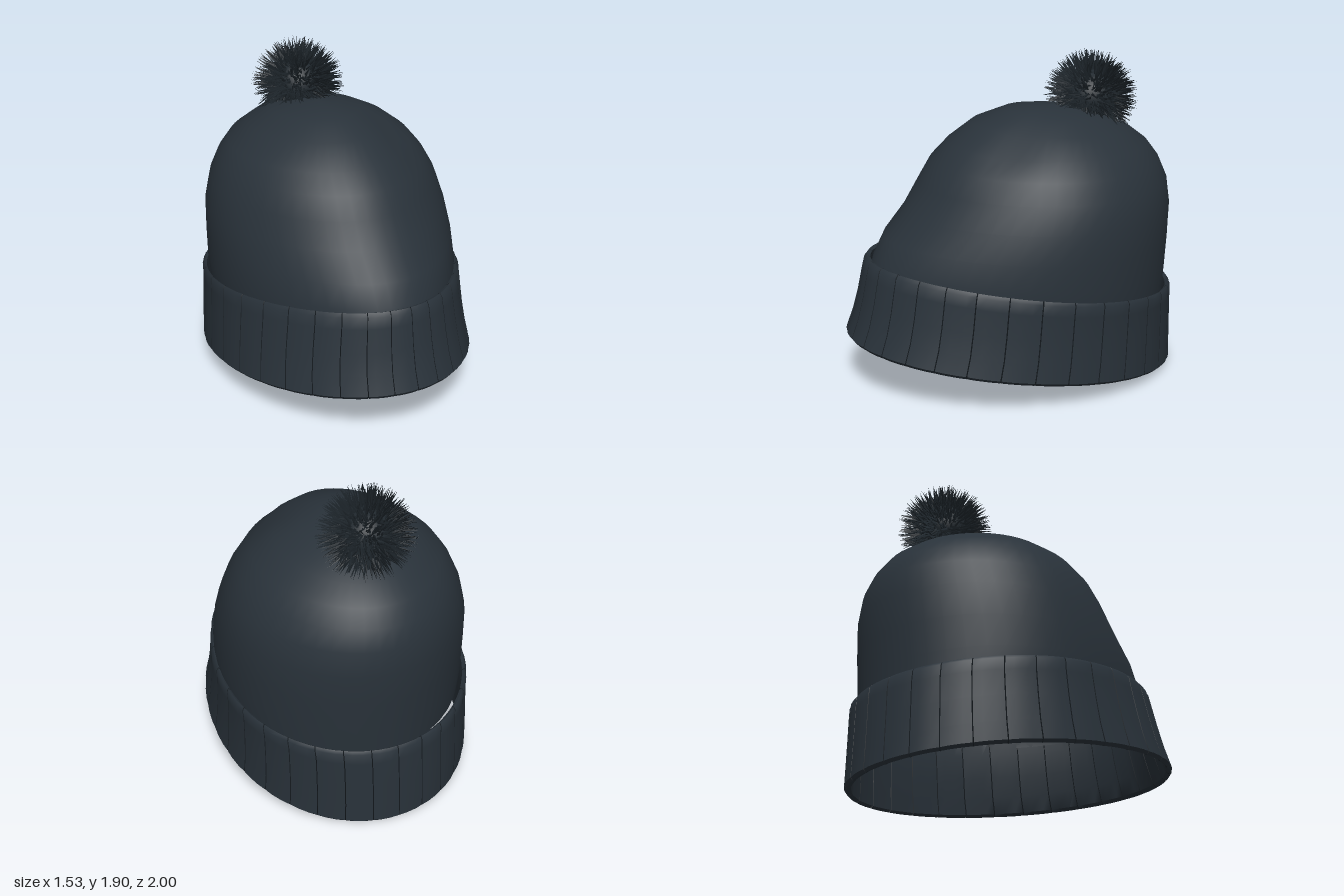
import * as THREE from 'three';
import { mergeGeometries, toCreasedNormals } from 'three/addons/utils/BufferGeometryUtils.js';

const knit = new THREE.MeshStandardMaterial({ name: 'slate knit', color: 0x29323a, side: THREE.DoubleSide });
const seam = new THREE.MeshStandardMaterial({ name: 'dark seam', color: 0x171d22, side: THREE.DoubleSide });
const fluff = new THREE.MeshStandardMaterial({ name: 'dark fluff', color: 0x1f272d });

// small seeded random generator
let seed = 7;
const rand = () => (seed = (seed * 16807) % 2147483647) / 2147483647;
const jitter = (size) => (rand() - 0.5) * size;

// point on a tilted egg-shaped ring: [front z, front y, back z, back y, half width, x shift, taper, flattening]
function ringPoint([zf, yf, zb, yb, w, shift, taper, flat], a, push) {
  const c = Math.cos(a), s = Math.sin(a), t = (1 + c) / 2;
  const x = w * s * (0.99 - taper * c - flat * c * c);
  return [x + s * push + shift, yb + (yf - yb) * t, zb + (zf - zb) * t + c * push];
}

// skin a stack of rings; columns are { a, push, dark } around the ring, a ring's ninth number scales the push
function loft(rings, columns, closed) {
  const n = columns.length, pos = [], light = [], dark = [];
  for (const ring of rings)
    for (const col of columns) pos.push(...ringPoint(ring, col.a, col.push * (ring[8] ?? 1)));
  const last = closed ? rings.length : rings.length - 1;
  for (let j = 0; j < last; j++) {
    const k = (j + 1) % rings.length;
    for (let i = 0; i < n; i++) {
      const m = (i + 1) % n, list = columns[i].dark ? dark : light;
      list.push(j * n + i, j * n + m, k * n + m, j * n + i, k * n + m, k * n + i);
    }
  }
  const geo = new THREE.BufferGeometry();
  geo.setAttribute('position', new THREE.Float32BufferAttribute(pos, 3));
  geo.setIndex([...light, ...dark]);
  geo.addGroup(0, light.length, 0);
  if (dark.length) geo.addGroup(light.length, dark.length, 1);
  return geo;
}

// soft crown leaning backwards
function makeCrown() {
  const rings = [
    [0.855, 0.70, -0.935, 0.46, 0.712, 0.016, 0.115, 0.08],
    [0.835, 0.77, -0.945, 0.60, 0.722, 0.016, 0.11, 0.085],
    [0.77, 0.89, -0.96, 0.80, 0.72, 0.016, 0.09, 0.09],
    [0.645, 1.03, -0.97, 1.00, 0.71, 0.016, 0.06, 0.10],
    [0.55, 1.18, -0.955, 1.15, 0.67, 0.013, 0.03, 0.10],
    [0.475, 1.30, -0.91, 1.26, 0.612, 0.008, 0.02, 0.09],
    [0.37, 1.40, -0.84, 1.355, 0.537, 0.004, 0.01, 0.08],
    [0.22, 1.51, -0.73, 1.44, 0.41, 0.004, 0.01, 0.06],
    [0.03, 1.578, -0.59, 1.515, 0.26, 0.005, 0.01, 0.04],
    [-0.10, 1.597, -0.45, 1.56, 0.12, 0.01, 0, 0.03],
    [-0.27, 1.587, -0.271, 1.587, 0.001, 0.01, 0, 0],
  ];
  const columns = Array.from({ length: 48 }, (_, i) => ({ a: (i / 48) * Math.PI * 2, push: 0 }));
  const geo = loft(rings, columns, false);
  // shallow soft dent in the cloth on the left front shoulder
  const p = geo.attributes.position, dent = new THREE.Vector3(0.32, 1.4, 0.12), v = new THREE.Vector3();
  for (let i = 0; i < p.count; i++) {
    v.fromBufferAttribute(p, i);
    const depth = 0.03 * Math.exp(-v.distanceToSquared(dent) / 0.03);
    p.setXYZ(i, v.x - depth * 0.5, v.y - depth * 0.7, v.z - depth * 0.5);
  }
  geo.computeVertexNormals();
  return new THREE.Mesh(geo, [knit]);
}

// folded cuff: outer wall up, rolled rim, inner wall down; last number scales the ribbing
function makeCuff() {
  const rings = [
    [0.985, 0.302, -0.985, 0.0, 0.752, 0, 0.05, 0, 0.7],
    [0.998, 0.322, -0.998, 0.015, 0.767, 0, 0.05, 0, 1],
    [0.958, 0.43, -0.995, 0.12, 0.757, 0, 0.065, 0.01, 1],
    [0.925, 0.56, -0.99, 0.27, 0.747, 0.003, 0.085, 0.02, 1],
    [0.9, 0.69, -0.985, 0.42, 0.74, 0.008, 0.105, 0.035, 1],
    [0.886, 0.755, -0.98, 0.485, 0.74, 0.01, 0.12, 0.04, 1],
    [0.87, 0.776, -0.968, 0.502, 0.73, 0.01, 0.125, 0.045, 0.5],
    [0.85, 0.765, -0.952, 0.49, 0.717, 0.01, 0.125, 0.045, 0],
    [0.865, 0.66, -0.95, 0.40, 0.712, 0.008, 0.11, 0.04, -0.6],
    [0.89, 0.53, -0.955, 0.26, 0.717, 0.003, 0.09, 0.02, -0.6],
    [0.925, 0.41, -0.96, 0.11, 0.73, 0, 0.065, 0.01, -0.6],
    [0.96, 0.316, -0.962, 0.012, 0.737, 0, 0.05, 0, -0.5],
  ];
  const ribs = 32, step = (Math.PI * 2) / ribs, half = 0.0035, columns = [];
  for (let r = 0; r < ribs; r++) {
    const a = (r + 0.2) * step;
    columns.push(
      { a: a - half, push: 0, dark: true },
      { a, push: -0.009, dark: true },
      { a: a + half, push: 0 },
      { a: a + step * 0.3, push: 0.003 },
      { a: a + step * 0.7, push: 0.003 },
    );
  }
  return new THREE.Mesh(toCreasedNormals(loft(rings, columns, true), 0.7), [knit, seam]);
}

// fluffy ball of ragged pointed strands around a core
function makePompom() {
  const strands = 1700, parts = [], up = new THREE.Vector3(0, 1, 0);
  for (let i = 0; i < strands; i++) {
    const y = 1 - (2 * (i + 0.5)) / strands, r = Math.sqrt(1 - y * y), a = i * 2.39996;
    const dir = new THREE.Vector3(r * Math.cos(a), y, r * Math.sin(a));
    const root = dir.clone().multiplyScalar(0.12);
    const tip = dir.clone().multiplyScalar(0.2 + 0.08 * rand());
    tip.add(new THREE.Vector3(jitter(0.15), jitter(0.15), jitter(0.15))).clampLength(0.17, 0.282);
    const axis = tip.clone().sub(root), length = axis.length();
    const cone = new THREE.ConeGeometry(0.012, length, 3, 1, true);
    cone.translate(0, length / 2, 0);
    cone.applyQuaternion(new THREE.Quaternion().setFromUnitVectors(up, axis.normalize()));
    cone.translate(root.x, root.y, root.z);
    parts.push(cone);
  }
  const pompom = new THREE.Group();
  const strandMesh = new THREE.Mesh(mergeGeometries(parts), fluff);
  strandMesh.name = 'pompomStrands';
  const core = new THREE.Mesh(new THREE.SphereGeometry(0.16, 24, 16), fluff);
  core.name = 'pompomCore';
  pompom.add(strandMesh, core);
  pompom.position.set(-0.003, 1.615, -0.515);
  return pompom;
}

export function createModel() {
  const hat = new THREE.Group();
  hat.name = 'knittedHat';
  const add = (name, part) => { part.name = name; hat.add(part); };
  add('crown', makeCrown());
  add('foldedCuff', makeCuff());
  add('pompom', makePompom());
  return hat;
}
